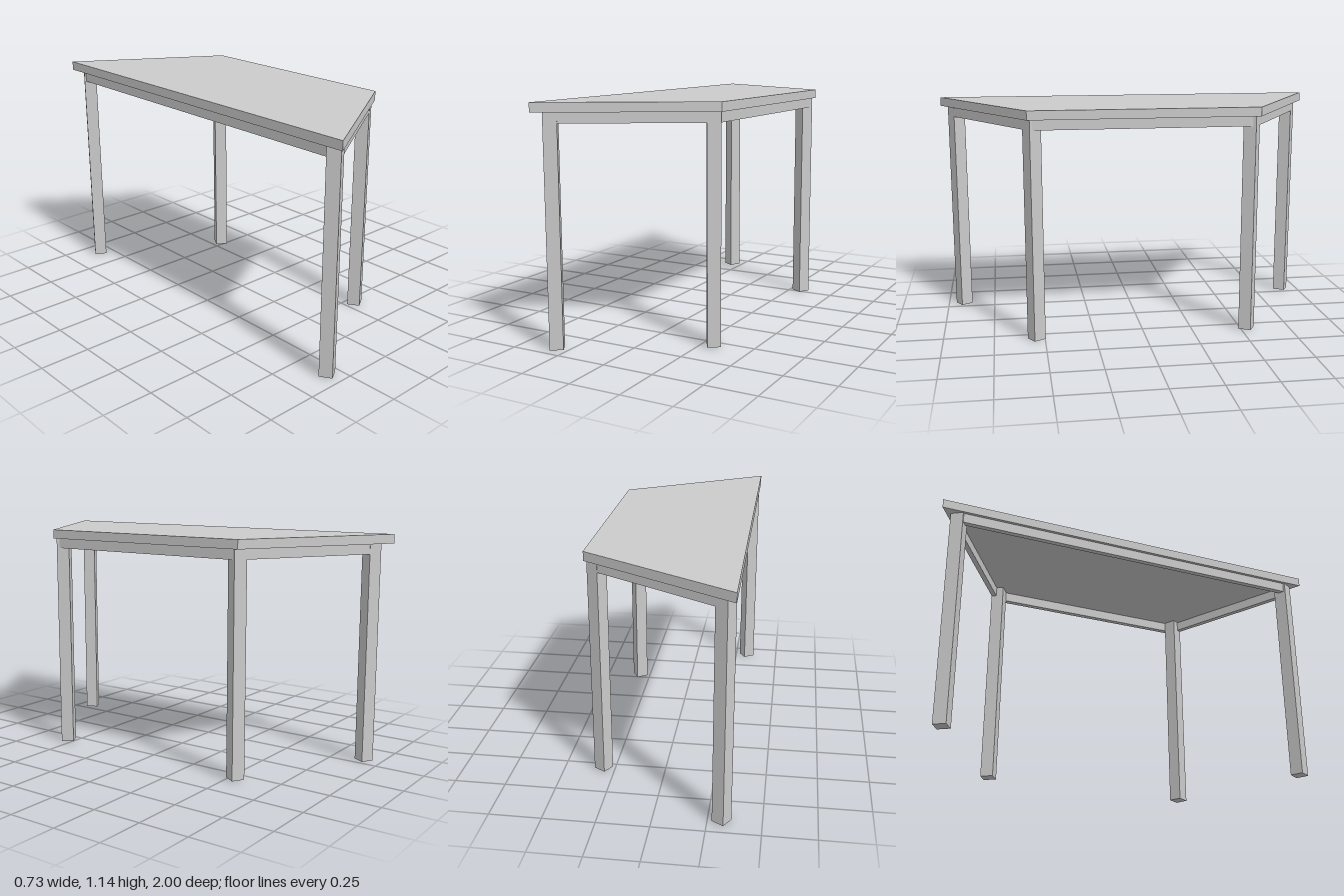
import * as THREE from 'three';

export function createModel() {
  const model = new THREE.Group();
  const material = new THREE.MeshStandardMaterial({ color: 0xcccccc, flatShading: true });
  const legTop = 1.095, apronHeight = 0.05, apronThickness = 0.026, legSide = 0.064;
  const rightLeg = { x: -0.315, z: 0.912 };
  const leftLeg = { x: 0.308, z: 0.5365 };

  const add = (parent, name, geometry, x = 0, y = 0, z = 0, turn = 0) => {
    const mesh = new THREE.Mesh(geometry, material);
    mesh.name = name;
    mesh.position.set(x, y, z);
    mesh.rotation.y = turn;
    parent.add(mesh);
  };

  // Trapezoid top, extruded upward
  const outline = new THREE.Shape([[-0.365, -1], [0.361, -0.565], [0.361, 0.565], [-0.365, 1]]
    .map(([x, y]) => new THREE.Vector2(x, y)));
  const top = new THREE.ExtrudeGeometry(outline, { depth: 0.045, bevelEnabled: false });
  top.rotateX(-Math.PI / 2);
  add(model, 'tabletop', top, 0, legTop, 0);

  const frame = new THREE.Group();
  frame.name = 'frame';
  frame.position.z = 0.0045;
  model.add(frame);

  // Legs and slanted aprons, turned to follow the slanted edges
  const dx = leftLeg.x - rightLeg.x, dz = leftLeg.z - rightLeg.z;
  const span = Math.hypot(dx, dz), angle = Math.atan2(-dz, dx);
  const apronY = legTop - apronHeight / 2;
  const inset = legSide / 2 - apronThickness / 2 - 0.001;
  for (const [label, s] of [['front', 1], ['back', -1]]) {
    for (const [side, p] of [['Right', rightLeg], ['Left', leftLeg]]) {
      add(frame, `${label}${side}Leg`, new THREE.BoxGeometry(legSide, legTop, legSide),
        p.x, legTop / 2, s * p.z, s * angle);
    }
    add(frame, `${label}Apron`, new THREE.BoxGeometry(span, apronHeight, apronThickness),
      (rightLeg.x + leftLeg.x) / 2 + Math.sin(angle) * inset, apronY,
      s * ((rightLeg.z + leftLeg.z) / 2 + Math.cos(angle) * inset), s * angle);
  }

  // Aprons along the two parallel sides
  add(frame, 'longApron', new THREE.BoxGeometry(apronThickness, apronHeight, 2 * rightLeg.z),
    -0.351 + apronThickness / 2, apronY);
  add(frame, 'shortApron', new THREE.BoxGeometry(apronThickness, apronHeight, 2 * leftLeg.z),
    0.344 - apronThickness / 2, apronY);

  return model;
}
